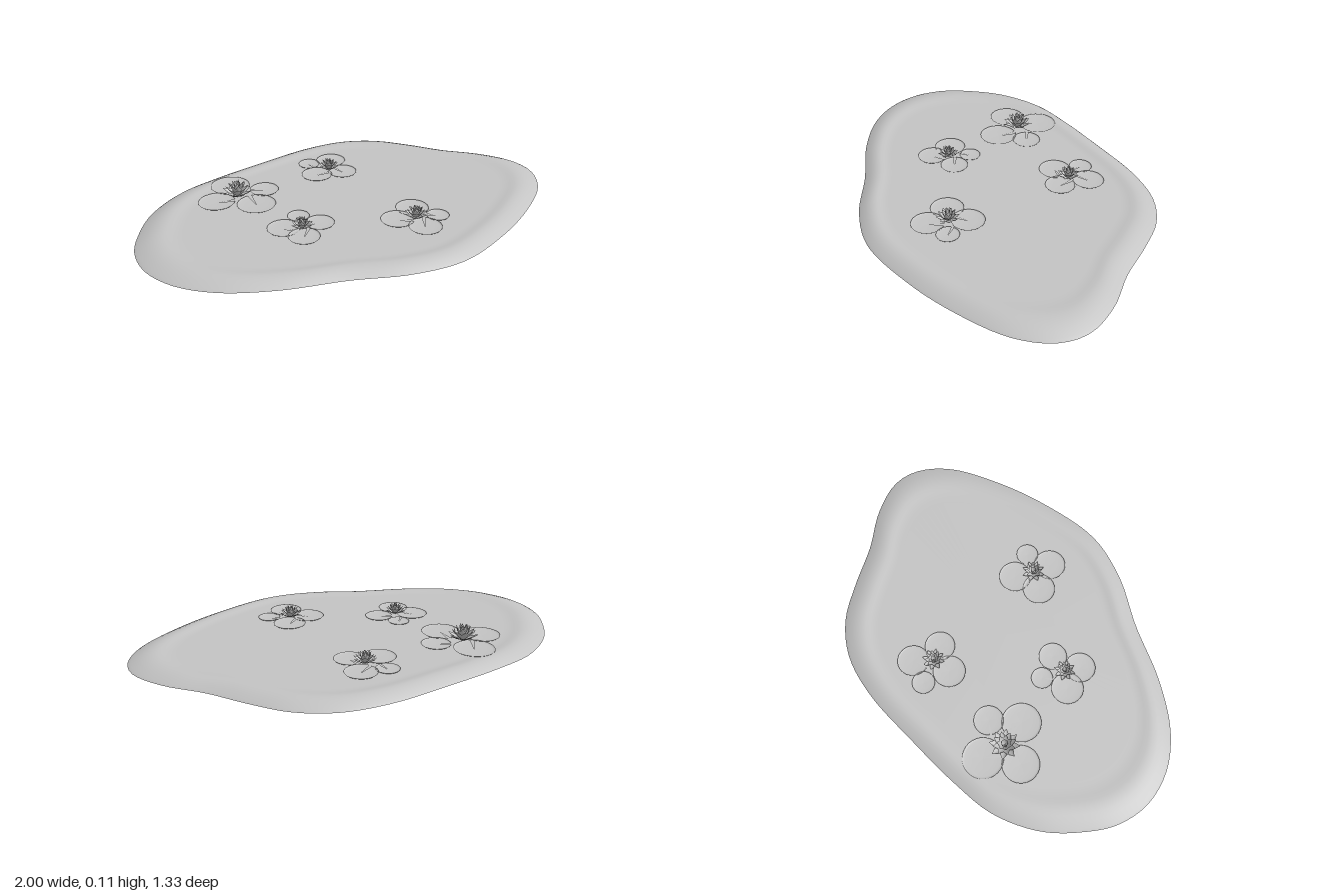
import * as THREE from 'three';

const stone = new THREE.MeshStandardMaterial({ color: 0xc4c4c4, side: THREE.DoubleSide });
stone.name = 'plain grey';

// Surface from rows of cross-sections; point(i, j) returns [x, y, z]
function sheet(rows, cols, point, closed = false) {
  const pos = [], index = [];
  const n = closed ? cols : cols + 1;
  for (let i = 0; i <= rows; i++) for (let j = 0; j < n; j++) pos.push(...point(i, j));
  for (let i = 0; i < rows; i++) {
    for (let j = 0; j < cols; j++) {
      const a = i * n + j, b = i * n + (j + 1) % n, c = a + n, d = b + n;
      index.push(a, c, b, b, c, d);
    }
  }
  const g = new THREE.BufferGeometry();
  g.setAttribute('position', new THREE.Float32BufferAttribute(pos, 3));
  g.setIndex(index);
  g.computeVertexNormals();
  return g;
}

function part(name, geometry, parent) {
  const m = new THREE.Mesh(geometry, stone);
  m.name = name;
  parent.add(m);
  return m;
}

// Pond shoreline as x, z pairs
const shore = [
  [-1, 0], [-0.945, 0.16], [-0.82, 0.3], [-0.61, 0.42], [-0.34, 0.515], [-0.1, 0.62],
  [0.14, 0.66], [0.43, 0.59], [0.68, 0.48], [0.89, 0.34], [0.985, 0.2], [0.995, 0.07],
  [0.915, -0.09], [0.78, -0.24], [0.66, -0.41], [0.54, -0.55], [0.38, -0.64], [0.17, -0.67],
  [-0.13, -0.645], [-0.4, -0.61], [-0.61, -0.56], [-0.8, -0.44], [-0.92, -0.29], [-0.985, -0.16],
];
// Bank section: scale of the shoreline, height
const bank = [[1, 0], [0.985, 0.008], [0.95, 0.02], [0.92, 0.028], [0.89, 0.0315],
  [0.865, 0.031], [0.84, 0.028], [0.815, 0.0255], [0.79, 0.025], [0.77, 0.025]];
const WATER = 0.025;

// Lily pad: shallow dish with a narrow notch that points along `facing`
function padGeometry(r, facing) {
  const notch = 0.09, cols = 32;
  const rings = [[0, 0.004], [0.5, 0.005], [0.88, 0.006], [0.97, 0.008], [1, 0.0105]];
  return sheet(rings.length - 1, cols, (i, j) => {
    const a = facing - notch - (j / cols) * (Math.PI * 2 - 2 * notch);
    const [s, y] = rings[i];
    return [r * s * Math.cos(a), y, r * s * Math.sin(a)];
  });
}

// Pointed, cupped petal that leans outwards along +x
function petalGeometry(length, width, lean) {
  const rows = 6, cols = 4;
  return sheet(rows, cols, (i, j) => {
    const t = i / rows, v = (j / cols) * 2 - 1;
    const half = width * Math.sin(Math.PI * Math.pow(0.12 + 0.88 * t, 1.15));
    const cup = v * v * half * 0.45;
    const angle = lean + 0.25 * t;
    return [
      length * t * Math.cos(angle) - cup * Math.sin(angle),
      length * t * Math.sin(angle) + cup * Math.cos(angle),
      half * v,
    ];
  });
}

// Water lily bloom of unit radius: rings of petals around a tuft of stamens
const petalRings = [
  { count: 8, length: 1.0, width: 0.2, lean: 0.2 },
  { count: 8, length: 0.98, width: 0.19, lean: 0.55 },
  { count: 7, length: 0.98, width: 0.17, lean: 0.85 },
  { count: 5, length: 0.98, width: 0.15, lean: 1.12 },
];
function bloom(parent) {
  const g = new THREE.Group();
  g.name = 'bloom';
  petalRings.forEach(({ count, length, width, lean }, k) => {
    const geo = petalGeometry(length, width, lean);
    for (let i = 0; i < count; i++) {
      part('petal', geo, g).rotation.y = ((i + k * 0.5) / count) * Math.PI * 2;
    }
  });
  const stamen = new THREE.ConeGeometry(0.04, 0.5, 5).translate(0, 0.25, 0);
  for (let i = 0; i < 6; i++) {
    const a = (i / 6) * Math.PI * 2;
    const s = part('stamen', stamen, g);
    s.position.set(Math.cos(a) * 0.08, 0, Math.sin(a) * 0.08);
    s.rotation.set(Math.sin(a) * 0.25, 0, -Math.cos(a) * 0.25);
  }
  parent.add(g);
  return g;
}

// Bloom centre, bloom radius, and pads as x, z, radius
const lilies = [
  { at: [-0.41, -0.335], r: 0.078,
    pads: [[-0.395, -0.445, 0.093], [-0.52, -0.33, 0.085], [-0.375, -0.21, 0.09], [-0.275, -0.32, 0.068]] },
  { at: [0.105, -0.345], r: 0.058,
    pads: [[0.05, -0.445, 0.053], [0.165, -0.42, 0.073], [0.02, -0.32, 0.075], [0.145, -0.28, 0.07]] },
  { at: [-0.31, 0.095], r: 0.055,
    pads: [[-0.38, 0.055, 0.074], [-0.27, -0.005, 0.05], [-0.22, 0.1, 0.065], [-0.34, 0.165, 0.07]] },
  { at: [0.165, 0.295], r: 0.06,
    pads: [[0.085, 0.265, 0.076], [0.205, 0.215, 0.076], [0.26, 0.335, 0.052], [0.15, 0.385, 0.075]] },
];

export function createModel() {
  const model = new THREE.Group();
  model.name = 'lily pond';

  // Bank and water share the smoothed shoreline
  const N = 120;
  const curve = new THREE.CatmullRomCurve3(shore.map(([x, z]) => new THREE.Vector3(x, 0, z)), true);
  const edge = curve.getSpacedPoints(N);
  const ring = (s, y, j) => [edge[N - 1 - j].x * s, y, edge[N - 1 - j].z * s];
  // Turning the ring this way keeps the upper side outward
  const flip = (j) => N - 1 - j;
  part('bank', sheet(bank.length - 1, N, (i, j) => ring(...bank[i], flip(j)), true), model);
  part('water', sheet(2, N, (i, j) => ring(0.77 * (1 - i / 2), WATER, flip(j)), true), model);

  lilies.forEach(({ at: [cx, cz], r, pads }, k) => {
    const lily = new THREE.Group();
    lily.name = 'waterLily';
    for (const [x, z, size] of pads) {
      const facing = Math.atan2(cz - z, cx - x) + 0.4;
      part('lilyPad', padGeometry(size, facing), lily).position.set(x, WATER, z);
    }
    const b = bloom(lily);
    b.position.set(cx, WATER + 0.006, cz);
    b.scale.setScalar(r);
    b.rotation.y = k * 0.7;
    model.add(lily);
  });
  return model;
}
